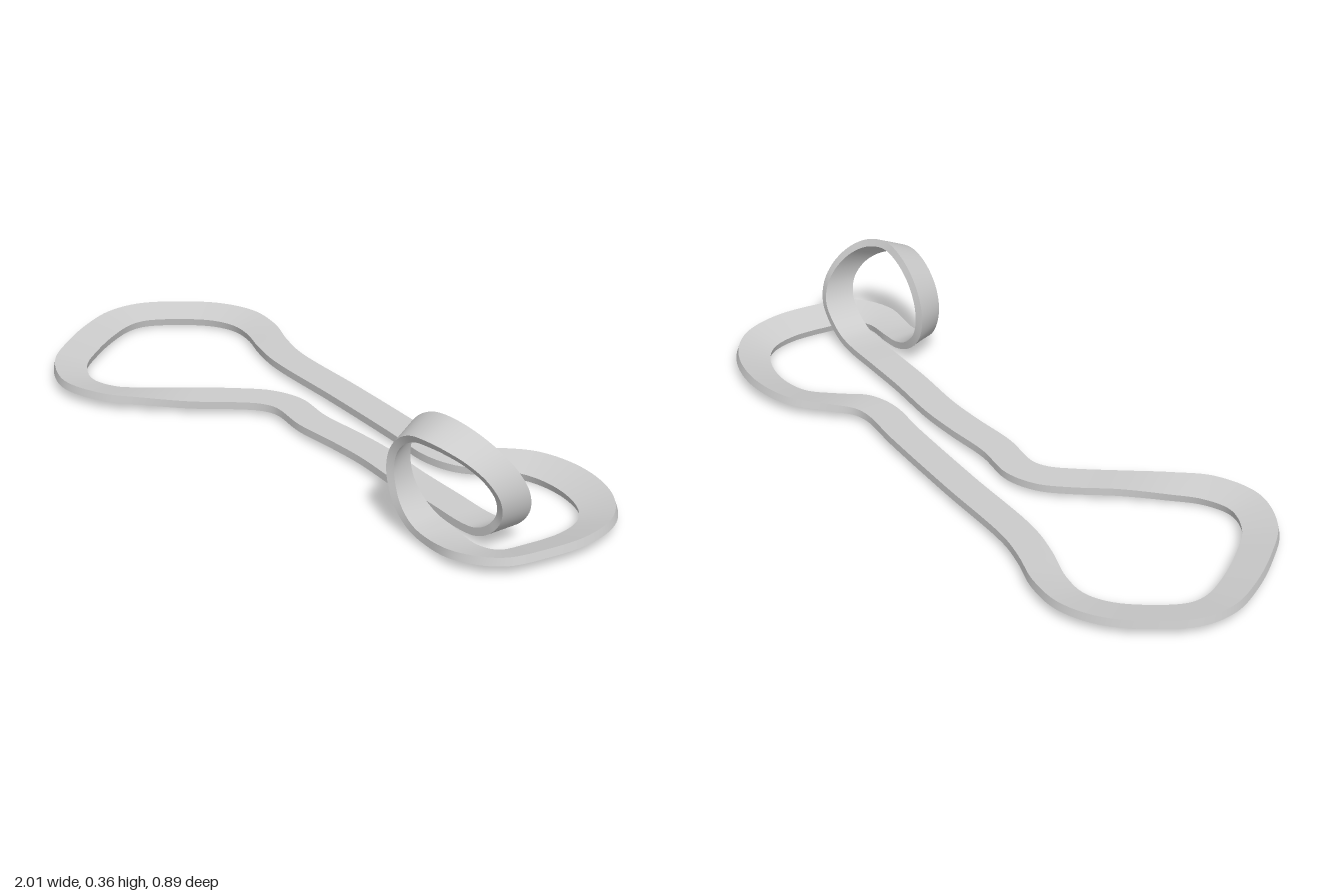
import * as THREE from 'three';

const HALF = 0.048, THICK = 0.023, GROUND = 0.045, STEPS = 8;

// Ground centre line after the loop: x, z, and how far the bank lifts the outer edge
const course = [
  [0.84, 0.083, 0.01], [0.915, 0.03, 0.015], [0.94, -0.07, 0.016], [0.945, -0.2, 0.016],
  [0.91, -0.3, 0.016], [0.83, -0.365, 0.016], [0.7, -0.393, 0.016], [0.57, -0.365, 0.014],
  [0.48, -0.285, 0.01], [0.42, -0.225, 0.004], [0.35, -0.203, 0.002], [0.2, -0.21, 0.002],
  [-0.1, -0.215, 0.002], [-0.4, -0.215, 0.002], [-0.51, -0.235, 0.004], [-0.62, -0.266, 0.008],
  [-0.72, -0.268, 0.01], [-0.81, -0.225, 0.01], [-0.89, -0.135, 0.01], [-0.945, -0.03, 0.01],
  [-0.945, 0.05, 0.01], [-0.905, 0.14, 0.01], [-0.83, 0.25, 0.01], [-0.74, 0.345, 0.01],
  [-0.62, 0.388, 0.01], [-0.51, 0.35, 0.01], [-0.43, 0.27, 0.006], [-0.34, 0.165, 0],
  [-0.26, 0.06, 0], [-0.2, -0.003, 0], [-0.13, -0.033, 0], [0, -0.025, 0],
  [0.15, -0.04, 0], [0.27, -0.047, 0], [0.45, -0.04, 0], [0.6, -0.04, 0],
];

// Stations as centre and half-width vector towards the outer (right-hand) edge
function buildStations() {
  const stations = [];

  // Vertical loop, drifting sideways and tilting as it goes over the top
  const n = 16;
  for (let i = 0; i <= n; i++) {
    const a = (i / n) * Math.PI * 2;
    const drift = THREE.MathUtils.smoothstep(a, 0.35 * Math.PI, 1.05 * Math.PI);
    const tilt = 0.021 * THREE.MathUtils.smoothstep(a, 0.45 * Math.PI, Math.PI)
      * (1 - THREE.MathUtils.smoothstep(a, 1.55 * Math.PI, 2 * Math.PI));
    const rx = Math.sin(a), ry = -Math.cos(a);
    stations.push({
      c: new THREE.Vector3(0.724 + 0.156 * rx, GROUND + 0.139 * (1 + ry), -0.04 + 0.125 * drift),
      s: new THREE.Vector3(-tilt * rx, -tilt * ry, Math.sqrt(HALF * HALF - tilt * tilt)),
    });
  }

  // Flat course with banked turns
  course.forEach(([x, z, bank], i) => {
    const p = course[i - 1] ?? [0.724, 0.085];
    const q = course[i + 1] ?? [0.724, -0.04];
    const s = new THREE.Vector3(-(q[1] - p[1]), 0, q[0] - p[0]).setLength(HALF);
    s.y = bank;
    stations.push({ c: new THREE.Vector3(x, GROUND, z), s });
  });
  return stations;
}

// Closed ribbon of rectangular section, one strip per side for crisp edges
function ribbonGeometry(stations) {
  const curve = (pts) => new THREE.CatmullRomCurve3(pts, true, 'centripetal');
  const centre = curve(stations.map(({ c }) => c));
  const right = curve(stations.map(({ c, s }) => c.clone().add(s)));
  const left = curve(stations.map(({ c, s }) => c.clone().sub(s)));
  const count = stations.length * STEPS;

  const sections = [];
  for (let i = 0; i < count; i++) {
    const t = i / count;
    const r = right.getPoint(t), l = left.getPoint(t);
    const down = r.clone().sub(l).cross(centre.getTangent(t)).setLength(-THICK);
    sections.push([l, r, r.clone().add(down), l.clone().add(down)]);
  }

  const positions = [], index = [];
  for (let k = 0; k < 4; k++) {
    const base = positions.length / 3;
    sections.forEach((sec, i) => {
      positions.push(...sec[k].toArray(), ...sec[(k + 1) % 4].toArray());
      const a = base + 2 * i, c = base + 2 * ((i + 1) % count);
      index.push(a, a + 1, c, a + 1, c + 1, c);
    });
  }
  const geometry = new THREE.BufferGeometry();
  geometry.setAttribute('position', new THREE.Float32BufferAttribute(positions, 3));
  geometry.setIndex(index);
  geometry.computeVertexNormals();
  return geometry;
}

export function createModel() {
  const group = new THREE.Group();
  group.name = 'raceTrack';
  const track = new THREE.Mesh(
    ribbonGeometry(buildStations()),
    new THREE.MeshStandardMaterial({ color: 0xcccccc, side: THREE.DoubleSide }),
  );
  track.name = 'trackRibbon';
  group.add(track);
  return group;
}
